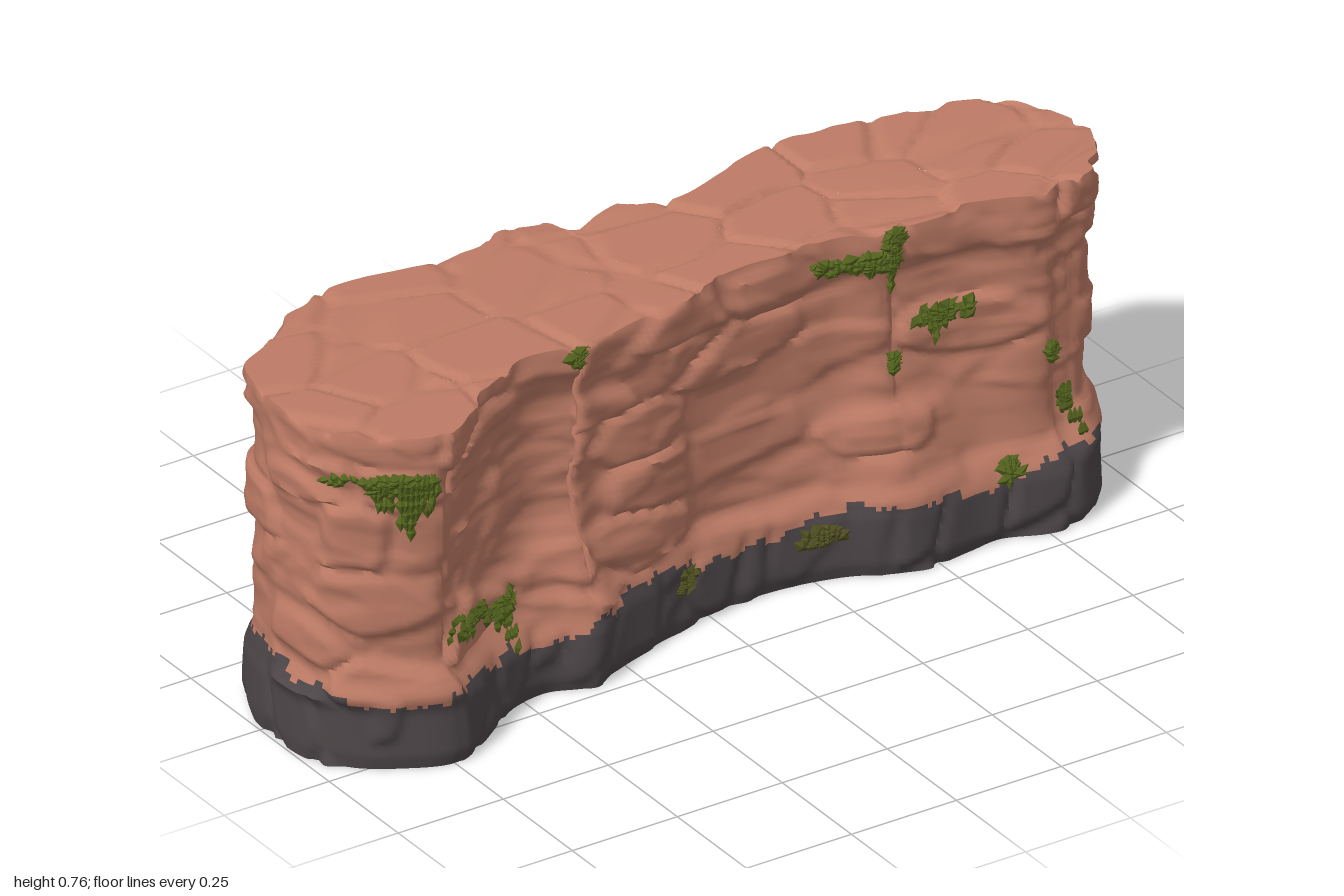
import * as THREE from 'three';
import { mergeGeometries, toCreasedNormals } from 'three/addons/utils/BufferGeometryUtils.js';

const material = (name, color) => Object.assign(new THREE.MeshStandardMaterial({ color }), { name });
const rock = material('terracotta rock', 0xbd7b65);
const darkRock = material('dark base rock', 0x4d4648);
const moss = material('moss green', 0x55651e);
const dimMoss = material('dim olive moss', 0x525222);

const smooth = THREE.MathUtils.smoothstep;
const lerp = THREE.MathUtils.lerp;

// Repeatable noise in 0..1
const hash = (a, b = 0, c = 0) => {
  const s = Math.sin(a * 127.1 + b * 311.7 + c * 74.7) * 43758.5453;
  return s - Math.floor(s);
};

// Footprint of the cliff, clockwise from above: back edge, then front edge
const footprint = new THREE.CatmullRomCurve3([
  [-1, 0.12], [-0.97, -0.12], [-0.81, -0.25], [-0.64, -0.33], [-0.45, -0.335], [-0.24, -0.36],
  [-0.12, -0.32], [-0.09, -0.265], [0.03, -0.285], [0.14, -0.26], [0.28, -0.3], [0.41, -0.335],
  [0.59, -0.33], [0.75, -0.28], [0.91, -0.2], [0.995, -0.04], [0.96, 0.07], [0.9, 0.17],
  [0.81, 0.215], [0.62, 0.185], [0.43, 0.2], [0.3, 0.145], [0.17, 0.12], [0, 0.125],
  [-0.13, 0.165], [-0.26, 0.205], [-0.34, 0.245], [-0.45, 0.215], [-0.56, 0.245], [-0.66, 0.31],
  [-0.75, 0.35], [-0.88, 0.295], [-0.965, 0.22],
].map(([x, z]) => new THREE.Vector3(x, 0, z)), true, 'centripetal');

const COLUMNS = 440;
const outline = footprint.getSpacedPoints(COLUMNS).slice(0, COLUMNS).map((p, i) => {
  const t = footprint.getTangentAt(i / COLUMNS);
  return { x: p.x, z: p.z, nx: t.z, nz: -t.x };
});

// Cellular blocks: a random value for the block, and how rounded off it is at its edges
function block(x, y, z, sx, sy, sz, seed, bevel) {
  const p = [
    (x + 0.018 * Math.sin(y * 17 + z * 9)) / sx,
    (y + 0.014 * Math.sin(x * 9 + z * 8)) / sy,
    (z + 0.018 * Math.sin(x * 13 + y * 7)) / sz,
  ];
  const [bx, by, bz] = p.map(Math.floor);
  let near = 9, next = 9, value = 0;
  for (let i = bx - 1; i <= bx + 1; i++) for (let j = by - 1; j <= by + 1; j++) for (let k = bz - 1; k <= bz + 1; k++) {
    const d = Math.hypot(
      i + 0.15 + 0.7 * hash(i + seed, j, k) - p[0],
      j + 0.15 + 0.7 * hash(i, j + seed + 5, k) - p[1],
      k + 0.15 + 0.7 * hash(i, j, k + seed + 9) - p[2]);
    if (d < near) { next = near; near = d; value = hash(i + 3, j + 7, k + seed); }
    else if (d < next) next = d;
  }
  return { value, round: smooth(next - near, 0, bevel) };
}

// Inset of the wall by height: wide base, hollow middle, slight overhang at the top
const insetProfile = [[0, 0.008], [0.03, 0], [0.13, 0.006], [0.17, 0.02], [0.2, 0.034], [0.5, 0.038], [0.63, 0.034], [0.67, 0.02], [0.76, 0.02]];
function insetAt(y) {
  const k = Math.max(1, insetProfile.findIndex(([h]) => h >= y));
  const [a, b] = [insetProfile[k - 1], insetProfile[k]];
  return lerp(a[1], b[1], (y - a[0]) / (b[0] - a[0]));
}

// Places where the wall steps back above the base: x, side, half width, depth, height where fully back
const recesses = [
  [0.44, 1, 0.22, 0.07, 0.5], [0.87, 1, 0.11, 0.045, 0.25], [-0.35, 1, 0.13, 0.065, 0.45],
  [-0.62, 1, 0.13, 0.035, 0.22], [-0.33, -1, 0.2, 0.045, 0.5],
];
const recessAt = (o, y) => recesses.reduce((sum, [x, side, w, depth, full]) =>
  sum + depth * Math.max(0, o.nz * side) * Math.exp(-(((o.x - x) / w) ** 2)) * smooth(y, 0.13, full), 0);

function wallPoint(i, y) {
  const o = outline[i];
  const upper = block(o.x, y, o.z, 0.25, 0.11, 0.22, 1, 0.2);
  const fine = block(o.x, y, o.z, 0.15, 0.055, 0.15, 4, 0.3);
  const lower = block(o.x, y, o.z, 0.13, 0.3, 0.13, 2, 0.22);
  const wall = 0.03 * (upper.value - 0.5) * upper.round - 0.006 * (1 - upper.round) + 0.012 * (fine.value - 0.5) * fine.round;
  const base = 0.018 * (lower.value - 1) * lower.round - 0.016 * (1 - lower.round);
  const inset = insetAt(y) * lerp(0.45, 1.15, o.nz * o.nz) + recessAt(o, y);
  const push = lerp(base, wall, smooth(y, 0.12, 0.17)) - inset;
  return new THREE.Vector3(o.x + o.nx * push, y, o.z + o.nz * push);
}

// Centre line that the top and the underside close onto
const spine = (p) => {
  const x = p.x * 0.78;
  return [x, -0.08 + (x < 0 ? 0.2 : 0.05) * x * x];
};

function cliffGeometry() {
  const rows = [];
  for (let k = 0; k < 3; k++) rows.push({ y: 0, t: k / 3 });
  for (let k = 0; k <= 70; k++) rows.push({ y: 0.738 * k / 70, t: 1 });
  for (const t of [0.985, 0.95, 0.9]) rows.push({ y: 0.759, t, top: true });
  for (let k = 1; k <= 24; k++) rows.push({ y: 0.759, t: 0.9 * (1 - k / 24), top: true });

  const ring = (y) => outline.map((o, i) => wallPoint(i, y));
  const rim = ring(0.738);
  const positions = [];
  for (const row of rows) (row.top ? rim : ring(row.y)).forEach((p) => {
    const [sx, sz] = spine(p);
    const x = lerp(sx, p.x, row.t), z = lerp(sz, p.z, row.t);
    let y = row.y;
    if (row.top) {
      // Paving-like slabs divided by cracks
      const slab = block(x, 0.5, z, 0.21, 9, 0.18, 6, 0.14);
      y -= 0.008 * slab.value * slab.round + 0.014 * (1 - slab.round);
    }
    positions.push(x, y, z);
  });

  // Ragged boundary between dark base and red rock
  const isDark = (r, i) => {
    const o = outline[i];
    const edge = 0.13 + 0.03 * o.x ** 4 + 0.012 * Math.sin(i * 0.13) + 0.028 * (hash(Math.floor(i / 4), 8) - 0.5) + 0.012 * hash(i, 2);
    return rows[r].y < edge;
  };
  const faces = [[], []];
  for (let r = 0; r < rows.length - 1; r++) for (let i = 0; i < COLUMNS; i++) {
    const n = (i + 1) % COLUMNS;
    const a = r * COLUMNS + i, b = r * COLUMNS + n, c = b + COLUMNS, d = a + COLUMNS;
    faces[isDark(r, i) ? 1 : 0].push(a, d, c, a, c, b);
  }
  const geometry = new THREE.BufferGeometry();
  geometry.setAttribute('position', new THREE.Float32BufferAttribute(positions, 3));
  geometry.setIndex([...faces[0], ...faces[1]]);
  geometry.addGroup(0, faces[0].length, 0);
  geometry.addGroup(faces[0].length, faces[1].length, 1);
  return toCreasedNormals(geometry, 1);
}

// Column of the front (side 1) or back (side -1) wall nearest to x
function columnAt(x, side) {
  let best = 0, error = 9;
  outline.forEach((o, i) => {
    const e = Math.abs(o.x - x) + (o.nz * side > 0.1 ? 0 : 5);
    if (e < error) { error = e; best = i; }
  });
  return best;
}

// Leafy clump on a ledge; strands hang below it, at an offset from its middle
function mossClump([x, y, width, drop, side = 1, offset = 0], seed) {
  const parts = [];
  const count = Math.round(12 + width * 170);
  const put = (px, py, sx, sy, tilt) => {
    const i = columnAt(px, side), o = outline[i];
    const p = wallPoint(i, THREE.MathUtils.clamp(py, 0.01, 0.738));
    const leaf = new THREE.OctahedronGeometry(1, 0);
    leaf.scale(sx, sy, 0.008).rotateZ(tilt).rotateY(Math.atan2(o.nx, o.nz));
    parts.push(leaf.translate(p.x + o.nx * 0.004, py, p.z + o.nz * 0.004));
  };
  for (let k = 0; k < count; k++) {
    const r = (n) => hash(k, seed, n);
    const across = r(1) + r(2) - 1;
    put(x + across * width / 2, y + (r(3) - 0.5) * 0.035, 0.011 + 0.013 * r(4), 0.008 + 0.009 * r(5), (r(7) - 0.5) * 1.6);
    if (k % 2) {
      const fall = drop * r(8) * (1 - Math.abs(across) * 0.6);
      const px = x + offset + across * width * 0.35;
      for (let s = 0; s < fall; s += 0.024)
        put(px + 0.004 * Math.sin(s * 90 + k), y - s, 0.008 + 0.005 * r(9), 0.022, (r(10) - 0.5) * 0.5);
    }
  }
  return mergeGeometries(parts);
}

export function createModel() {
  const model = new THREE.Group();
  model.name = 'cliff';

  const cliff = new THREE.Mesh(cliffGeometry(), [rock, darkRock]);
  cliff.name = 'cliffRock';
  model.add(cliff);

  // Moss: x, y, width, length of hanging strands, side, offset of the strands
  [
    [-0.89, 0.65, 0.22, 0.14, 1, 0.05], [-0.37, 0.73, 0.09, 0.02], [0.35, 0.69, 0.2, 0.03], [0.41, 0.735, 0.09, 0.17],
    [0.56, 0.525, 0.13, 0.07], [0.43, 0.43, 0.05, 0.02], [0.79, 0.378, 0.06, 0.01], [0.88, 0.255, 0.06, 0.12],
    [-0.65, 0.275, 0.15, 0.03], [-0.54, 0.24, 0.1, 0.14, 1, 0.01], [0.67, 0.16, 0.05, 0.03], [0.25, 0.11, 0.1, 0.02],
    [-0.06, 0.11, 0.05, 0.02],
    [-0.1, 0.7, 0.05, 0.02, -1], [-0.35, 0.66, 0.05, 0.03, -1], [-0.65, 0.68, 0.04, 0.03, -1],
    [0.25, 0.12, 0.08, 0.02, -1], [0, 0.11, 0.06, 0.02, -1], [-0.45, 0.11, 0.07, 0.02, -1],
  ].forEach((spec, k) => {
    const clump = new THREE.Mesh(mossClump(spec, k + 1), spec[1] < 0.13 ? dimMoss : moss);
    clump.name = `mossClump${k + 1}`;
    model.add(clump);
  });
  return model;
}
